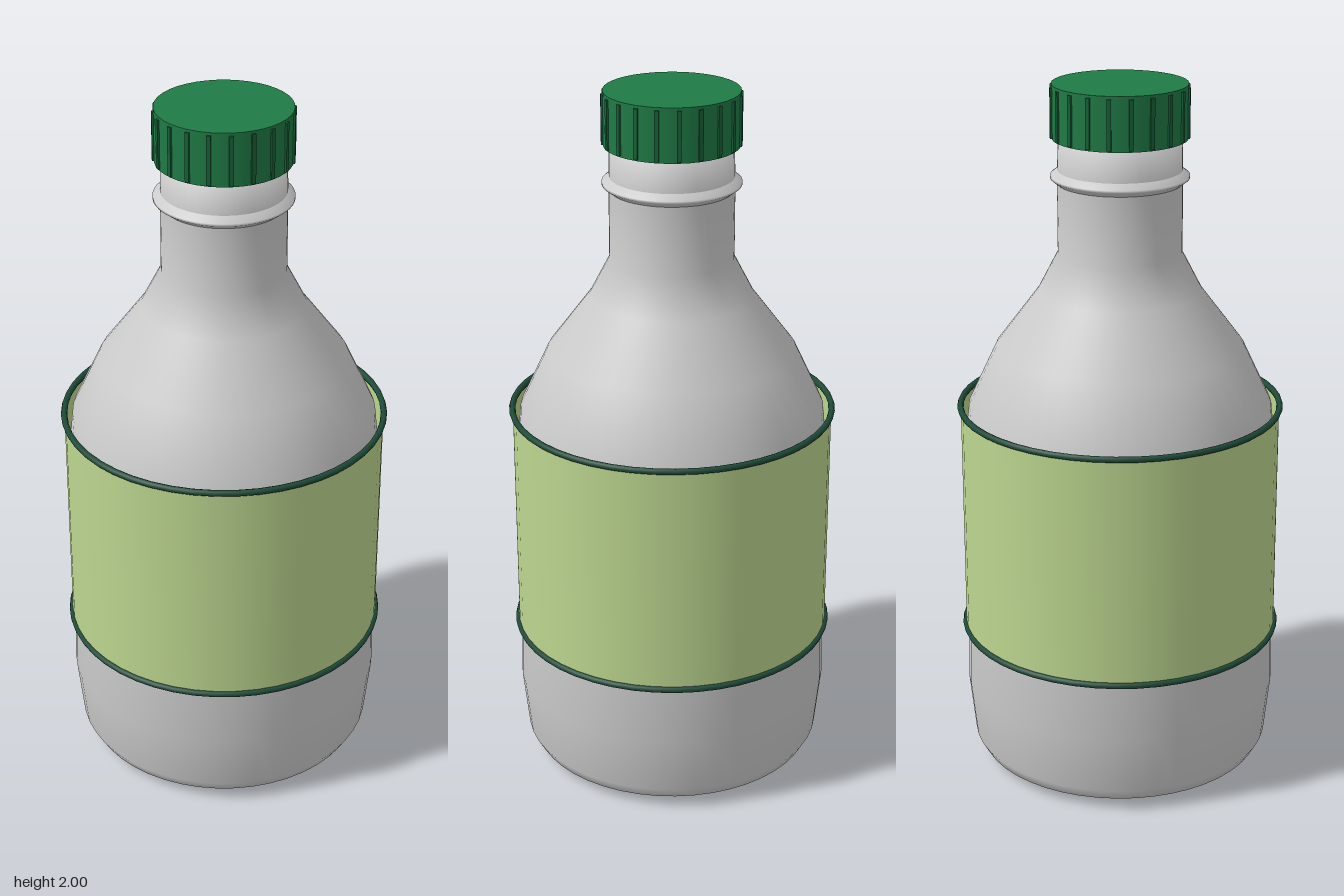
import * as THREE from 'three';

const material = (color, side = THREE.FrontSide) => new THREE.MeshStandardMaterial({ color, side });

function addMesh(parent, name, geometry, mat, y = 0) {
  const mesh = new THREE.Mesh(geometry, mat);
  mesh.name = name;
  mesh.position.y = y;
  parent.add(mesh);
  return mesh;
}

export function createModel() {
  const model = new THREE.Group();
  model.name = 'bottle';
  const capGreen = material(0x1f7a45);
  const ribGreen = material(0x176038);
  const trimGreen = material(0x1f4a38);
  const labelGreen = material(0xbcd68f, THREE.DoubleSide);

  // Bottle body: rounded foot, straight wall, sloping shoulder and neck
  const profile = [
    [0, 0.005], [0.39, 0.022], [0.412, 0.035], [0.432, 0.07], [0.45, 0.24], [0.445, 0.41],
    [0.445, 0.95], [0.43, 1.09], [0.35, 1.26], [0.23, 1.42], [0.173, 1.53],
    [0.173, 1.73], [0.17, 1.87], [0, 1.87],
  ].map(([r, y]) => new THREE.Vector2(r, y));
  addMesh(model, 'body', new THREE.LatheGeometry(profile, 48), material(0xcccccc, THREE.DoubleSide));

  // Flared collar around the neck
  const collar = [[0.171, 1.725], [0.192, 1.741], [0.192, 1.748], [0.171, 1.764]]
    .map(([r, y]) => new THREE.Vector2(r, y));
  addMesh(model, 'neckCollar', new THREE.LatheGeometry(collar, 48), material(0xcccccc));

  // Label sleeve with a trim ring at each edge
  const low = 0.415, high = 1.085;
  addMesh(model, 'label', new THREE.CylinderGeometry(0.453, 0.453, high - low, 48, 1, true),
    labelGreen, (low + high) / 2);
  for (const [name, y] of [['lowerTrim', low], ['upperTrim', high]]) {
    const ring = new THREE.TorusGeometry(0.454, 0.009, 8, 48).rotateX(Math.PI / 2);
    addMesh(model, name, ring, trimGreen, y);
  }

  // Screw cap with grip ribs
  const cap = new THREE.Group();
  cap.name = 'cap';
  model.add(cap);
  addMesh(cap, 'capBody', new THREE.CylinderGeometry(0.187, 0.187, 0.15, 40), capGreen, 1.925);
  const ribs = 20;
  for (let i = 0; i < ribs; i++) {
    const a = (i / ribs) * Math.PI * 2;
    const rib = addMesh(cap, 'capRib', new THREE.BoxGeometry(0.012, 0.138, 0.012), ribGreen, 1.923);
    rib.position.x = Math.sin(a) * 0.186;
    rib.position.z = Math.cos(a) * 0.186;
    rib.rotation.y = a;
  }
  return model;
}
